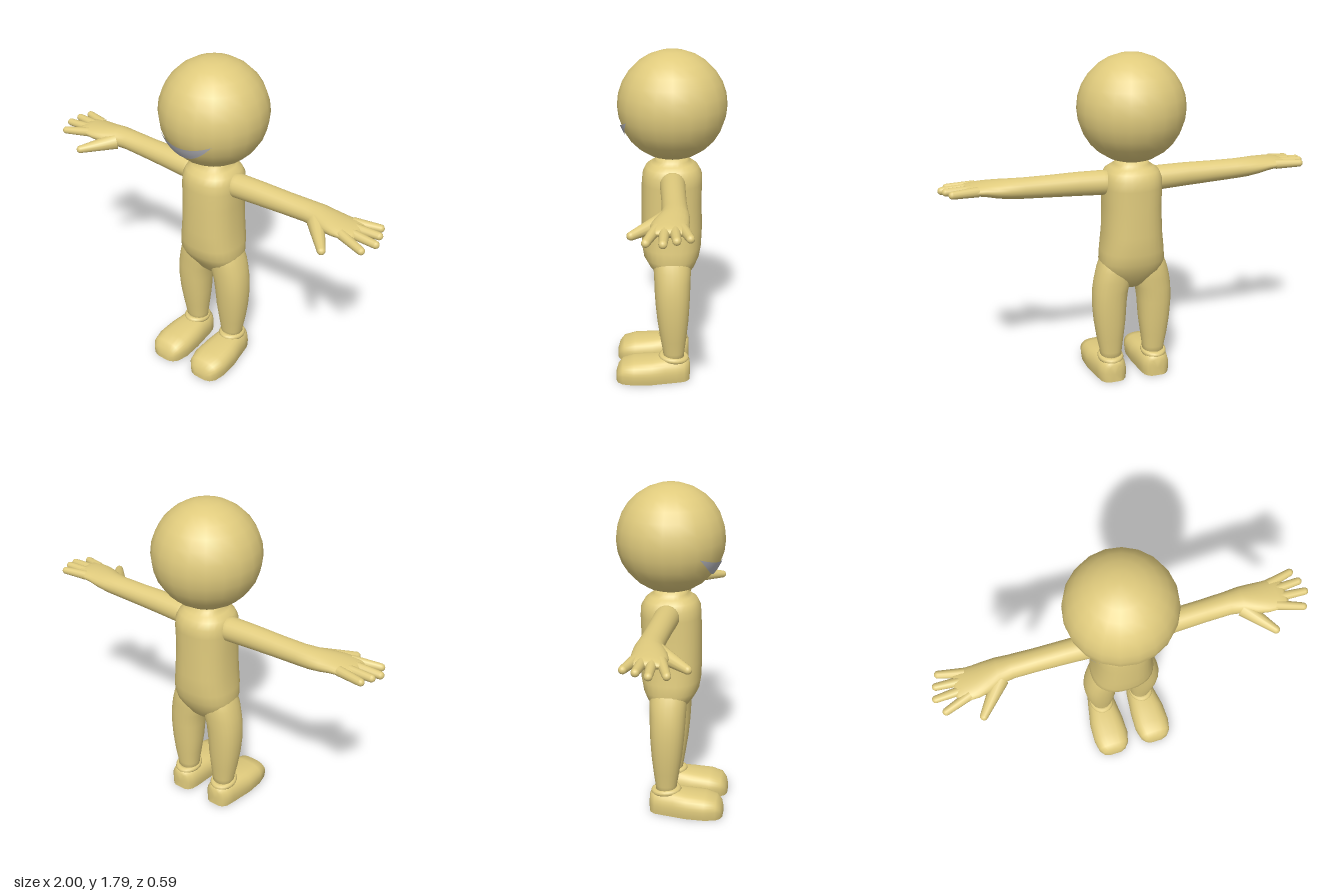
import * as THREE from 'three';
import { mergeVertices, toCreasedNormals } from 'three/addons/utils/BufferGeometryUtils.js';

const skin = new THREE.MeshStandardMaterial({ color: 0xe0cb7d });
skin.name = 'sand';
const grey = new THREE.MeshStandardMaterial({ color: 0xb6b6bc });
grey.name = 'grey';

// Skins closed rings; point(ring, cos, sin) returns [x, y, z]
function loft(rings, point, sides = 24) {
  const pos = [], index = [];
  rings.forEach(r => {
    for (let i = 0; i < sides; i++) {
      const a = (i / sides) * Math.PI * 2;
      pos.push(...point(r, Math.cos(a), Math.sin(a)));
    }
  });
  for (let j = 0; j < rings.length - 1; j++) {
    for (let i = 0; i < sides; i++) {
      const a = j * sides + i, b = j * sides + (i + 1) % sides;
      index.push(a, a + sides, b, b, a + sides, b + sides);
    }
  }
  // End caps
  [0, rings.length - 1].forEach((j, end) => {
    const c = pos.length / 3, mid = [0, 0, 0];
    for (let i = 0; i < sides; i++)
      for (let k = 0; k < 3; k++) mid[k] += pos[(j * sides + i) * 3 + k] / sides;
    pos.push(...mid);
    for (let i = 0; i < sides; i++) {
      const a = j * sides + i, b = j * sides + (i + 1) % sides;
      index.push(c, end ? b : a, end ? a : b);
    }
  });
  const g = new THREE.BufferGeometry();
  g.setAttribute('position', new THREE.Float32BufferAttribute(pos, 3));
  g.setIndex(index);
  g.computeVertexNormals();
  return g;
}

const mix = (lo, hi, t) => (lo + hi) / 2 + (hi - lo) / 2 * t;
const soft = (t, e) => Math.sign(t) * Math.abs(t) ** e;
// Rings [y, x0, x1, z0, z1] stacked upward
const upright = e => (r, c, s) => [mix(r[1], r[2], soft(c, e)), r[0], mix(r[3], r[4], soft(s, e))];
// Rings [x, z0, z1, y0, y1] running sideways
const sideways = (r, c, s) => [r[0], mix(r[3], r[4], s), mix(r[1], r[2], c)];

// Tapered finger with a round tip
function finger(from, to, r0, r1) {
  const a = new THREE.Vector3(...from), d = new THREE.Vector3(...to).sub(a);
  const len = d.length(), pts = [new THREE.Vector2(r0, 0)];
  for (let i = 0; i <= 5; i++) {
    const t = (i / 5) * Math.PI / 2;
    pts.push(new THREE.Vector2(Math.max(0, r1 * Math.cos(t)), len - r1 + r1 * Math.sin(t)));
  }
  const g = new THREE.LatheGeometry(pts, 12);
  g.applyQuaternion(new THREE.Quaternion().setFromUnitVectors(new THREE.Vector3(0, 1, 0), d.normalize()));
  return g.translate(a.x, a.y, a.z);
}

function mirrored(geometry) {
  const g = geometry.clone().scale(-1, 1, 1), ix = g.index;
  for (let i = 0; i < ix.count; i += 3) {
    const t = ix.getX(i);
    ix.setX(i, ix.getX(i + 1));
    ix.setX(i + 1, t);
  }
  return g;
}

export function createModel() {
  const model = new THREE.Group();
  model.name = 'figure';
  const add = (name, geometry, material = skin) => {
    const m = new THREE.Mesh(geometry, material);
    m.name = name;
    model.add(m);
  };
  const pair = (name, geometry) => {
    add('left' + name, geometry);
    add('right' + name, mirrored(geometry));
  };

  // Head
  const headY = 1.51, headZ = -0.01;
  add('head', new THREE.SphereGeometry(0.283, 20, 14).translate(0, headY, headZ));

  // Smile, a crescent wrapped on the head
  const smile = new THREE.PlaneGeometry(2, 1, 24, 4), p = smile.attributes.position;
  for (let i = 0; i < p.count; i++) {
    const u = p.getX(i), v = p.getY(i) + 0.5;
    const x = -0.03 + 0.19 * u;
    const y = THREE.MathUtils.lerp(1.34 + 0.115 * u * u, 1.41 + 0.045 * u * u, v);
    p.setXYZ(i, x, y, headZ + Math.sqrt(0.287 ** 2 - x * x - (y - headY) ** 2));
  }
  smile.computeVertexNormals();
  add('smile', smile, grey);

  // Torso with neck
  const torso = [
    [0.53, 0.04, -0.05, 0.03], [0.56, 0.09, -0.085, 0.06], [0.60, 0.135, -0.11, 0.085],
    [0.64, 0.165, -0.135, 0.115], [0.69, 0.177, -0.155, 0.143], [0.75, 0.172, -0.166, 0.153],
    [0.85, 0.16, -0.17, 0.155], [1.00, 0.155, -0.165, 0.153], [1.10, 0.158, -0.168, 0.15],
    [1.15, 0.155, -0.165, 0.145], [1.185, 0.14, -0.145, 0.128], [1.205, 0.112, -0.12, 0.1],
    [1.22, 0.09, -0.098, 0.08], [1.25, 0.085, -0.09, 0.075],
  ].map(([y, w, back, front]) => [y, -w, w, back, front]);
  add('torso', loft(torso, upright(0.85), 28));

  // Legs
  pair('Leg', loft([
    [0.10, 0.065, 0.18, -0.072, 0.035], [0.16, 0.062, 0.184, -0.077, 0.042],
    [0.24, 0.052, 0.2, -0.087, 0.055], [0.34, 0.04, 0.214, -0.097, 0.07],
    [0.44, 0.034, 0.221, -0.103, 0.08], [0.52, 0.024, 0.218, -0.106, 0.085],
    [0.58, 0.005, 0.209, -0.108, 0.087], [0.64, 0.005, 0.194, -0.11, 0.09],
    [0.70, 0.01, 0.172, -0.1, 0.085], [0.76, 0.03, 0.14, -0.07, 0.06],
  ], upright(0.9)));

  // Shoes with flat soles: rings [z, x0, x1, height] from toe to heel
  const shoe = loft([
    [0.298, 0.095, 0.165, 0.035], [0.287, 0.065, 0.2, 0.07], [0.262, 0.042, 0.222, 0.1],
    [0.2, 0.026, 0.235, 0.118], [0.1, 0.028, 0.232, 0.125], [0.03, 0.036, 0.218, 0.132],
    [-0.03, 0.042, 0.207, 0.128], [-0.075, 0.052, 0.197, 0.124],
    [-0.097, 0.07, 0.178, 0.115], [-0.106, 0.09, 0.158, 0.1],
  ], (r, c, s) => {
    const low = Math.min(0.05, r[3] / 2);
    const y = s >= 0 ? low + (r[3] - low) * s : Math.max(0, low + 0.12 * s);
    return [mix(r[1], r[2], soft(c, 0.65)), y, r[0]];
  }, 28);
  pair('Shoe', mergeVertices(toCreasedNormals(shoe, 0.9)));

  // Shoe cuffs, raised slightly at the front
  const cuff = new THREE.TorusGeometry(0.058, 0.017, 10, 24).scale(0.95, 1.12, 1)
    .rotateX(Math.PI / 2 - 0.1).translate(0.125, 0.122, -0.018);
  pair('Cuff', cuff);

  // Arms flowing into flat palms
  pair('Arm', loft([
    [0.08, -0.075, 0.055, 1.06, 1.185], [0.16, -0.076, 0.055, 1.06, 1.19],
    [0.30, -0.075, 0.05, 1.068, 1.192], [0.45, -0.076, 0.046, 1.076, 1.19],
    [0.58, -0.08, 0.046, 1.083, 1.19], [0.65, -0.085, 0.06, 1.088, 1.19],
    [0.71, -0.083, 0.085, 1.095, 1.186], [0.77, -0.078, 0.098, 1.108, 1.182],
    [0.83, -0.077, 0.1, 1.12, 1.176], [0.865, -0.072, 0.092, 1.127, 1.17],
    [0.88, -0.058, 0.075, 1.138, 1.16],
  ], sideways));

  // Fingers: [base x, base z, tip x, tip y, tip z]
  [
    [0.81, -0.05, 0.96, 1.152, -0.083], [0.82, -0.012, 0.985, 1.152, -0.02],
    [0.82, 0.032, 1.0, 1.142, 0.042], [0.81, 0.07, 0.965, 1.133, 0.122],
  ].forEach(([bx, bz, tx, ty, tz], i) =>
    pair('Finger' + (i + 1), finger([bx, 1.148, bz], [tx, ty, tz], 0.026, 0.02)));

  // Thumbs
  pair('Thumb', finger([0.65, 1.128, 0.03], [0.79, 1.098, 0.2], 0.045, 0.021));

  return model;
}
